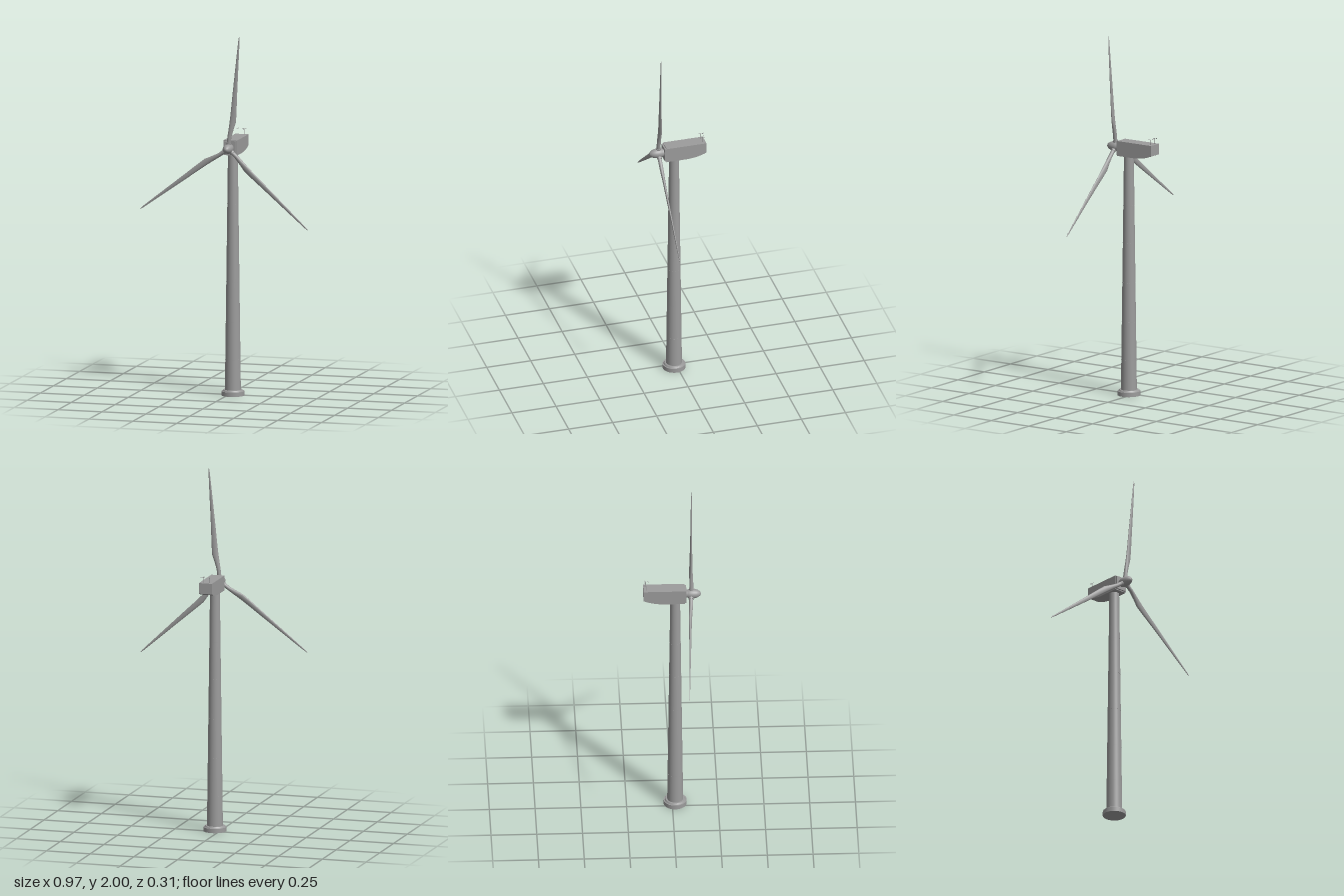
import * as THREE from 'three';

const paint = new THREE.MeshStandardMaterial({ color: 0x9c9c9c });
paint.name = 'turbineGrey';

const CX = 0.027, TOWER_Z = 0.016;
const HUB = new THREE.Vector3(CX, 1.378, 0.104);

function add(parent, name, geometry, x = 0, y = 0, z = 0) {
  const mesh = new THREE.Mesh(geometry, paint);
  mesh.name = name;
  mesh.position.set(x, y, z);
  parent.add(mesh);
  return mesh;
}

const lathe = (pts, n = 32) =>
  new THREE.LatheGeometry(pts.map(([r, y]) => new THREE.Vector2(r, y)), n);

// Blade lofted along +y: [distance, edge at -x, edge at +x, half thickness, twist]
function bladeGeometry() {
  const sections = [
    [0.015, -0.011, 0.011, 0.011, 0], [0.065, -0.011, 0.011, 0.011, 0],
    [0.105, -0.009, 0.018, 0.010, 0.18], [0.15, -0.007, 0.028, 0.008, 0.22],
    [0.20, -0.006, 0.026, 0.007, 0.18], [0.30, -0.006, 0.020, 0.0055, 0.12],
    [0.42, -0.005, 0.014, 0.004, 0.07], [0.54, -0.004, 0.008, 0.003, 0.03],
    [0.61, -0.003, 0.004, 0.002, 0], [0.625, -0.0015, 0.0015, 0.001, 0],
  ];
  const n = 16, pos = [], idx = [];
  for (const [r, lo, hi, t, twist] of sections) {
    for (let j = 0; j < n; j++) {
      const a = (j / n) * Math.PI * 2;
      const c = (lo + hi) / 2 + Math.cos(a) * (hi - lo) / 2;
      const d = -Math.sin(a) * t;
      pos.push(c * Math.cos(twist) + d * Math.sin(twist), r, -c * Math.sin(twist) + d * Math.cos(twist));
    }
  }
  for (let i = 0; i < sections.length - 1; i++) {
    for (let j = 0; j < n; j++) {
      const a = i * n + j, b = i * n + (j + 1) % n;
      idx.push(a, b, a + n, b, b + n, a + n);
    }
  }
  const last = (sections.length - 1) * n;
  for (let j = 1; j < n - 1; j++) idx.push(last, last + j, last + j + 1);
  const g = new THREE.BufferGeometry();
  g.setAttribute('position', new THREE.Float32BufferAttribute(pos, 3));
  g.setIndex(idx);
  g.computeVertexNormals();
  return g;
}

export function createModel() {
  const model = new THREE.Group();
  model.name = 'windTurbine';

  // Stepped foundation
  add(model, 'foundation', new THREE.CylinderGeometry(0.063, 0.063, 0.024, 40), CX, 0.012, TOWER_Z);
  add(model, 'foundationStep', new THREE.CylinderGeometry(0.052, 0.057, 0.008, 40), CX, 0.028, TOWER_Z);

  // Tapered tower in stacked sections with thin seams
  const tower = new THREE.Group();
  tower.name = 'tower';
  tower.position.set(CX, 0, TOWER_Z);
  model.add(tower);
  const radiusAt = (y) => 0.044 - 0.017 * (y / 1.337);
  const joints = [0.03, 0.2, 0.41, 0.63, 0.85, 1.06, 1.337];
  for (let i = 0; i < joints.length - 1; i++) {
    const y0 = joints[i], y1 = joints[i + 1];
    add(tower, 'towerSection',
      new THREE.CylinderGeometry(radiusAt(y1), radiusAt(y0), y1 - y0, 40, 1, true), 0, (y0 + y1) / 2, 0);
    if (i > 0) {
      const r = radiusAt(y0) + 0.0004;
      add(tower, 'towerSeam', new THREE.CylinderGeometry(r, r, 0.002, 40), 0, y0, 0);
    }
  }

  // Nacelle: side profile (z, y) with an upswept tail, extruded across x
  const width = 0.075;
  const side = new THREE.Shape();
  side.moveTo(0.068, 1.335);
  side.lineTo(0.068, 1.418);
  side.lineTo(-0.158, 1.418);
  side.lineTo(-0.158, 1.359);
  side.quadraticCurveTo(-0.11, 1.338, -0.05, 1.335);
  const shell = new THREE.ExtrudeGeometry(side, { depth: width, bevelEnabled: false, curveSegments: 8 });
  shell.rotateY(-Math.PI / 2);
  add(model, 'nacelle', shell, CX + width / 2, 0, 0);
  add(model, 'nacelleFront', new THREE.BoxGeometry(0.066, 0.074, 0.012), CX, 1.3765, 0.071);

  // Rotor: hub with rounded nose, and three blades
  const rotor = new THREE.Group();
  rotor.name = 'rotor';
  rotor.position.copy(HUB);
  model.add(rotor);
  const hub = lathe([
    [0.022, -0.03], [0.022, -0.019], [0.026, -0.014], [0.027, 0], [0.0265, 0.014],
    [0.024, 0.027], [0.019, 0.039], [0.011, 0.049], [0.005, 0.052], [0, 0.053],
  ]);
  hub.rotateX(Math.PI / 2);
  add(rotor, 'hub', hub);

  const bladeGeo = bladeGeometry();
  const collarGeo = new THREE.CylinderGeometry(0.0135, 0.0135, 0.02, 20);
  collarGeo.translate(0, 0.024, 0);
  const tips = [[0.063, 0.622, 0.003], [-0.509, -0.36, -0.028], [0.455, -0.428, 0.009]];
  for (const tip of tips) {
    const along = new THREE.Vector3(...tip).normalize();
    const chord = along.clone().cross(new THREE.Vector3(0, 0, 1)).normalize();
    const normal = chord.clone().cross(along);
    const arm = new THREE.Group();
    arm.name = 'bladeArm';
    arm.quaternion.setFromRotationMatrix(new THREE.Matrix4().makeBasis(chord, along, normal));
    rotor.add(arm);
    add(arm, 'blade', bladeGeo);
    add(arm, 'bladeCollar', collarGeo);
  }

  // Weather instruments on the tail: a vane and a three-cup wind gauge
  const postGeo = new THREE.CylinderGeometry(0.0012, 0.0012, 0.032, 8);
  const vaneX = 0.006, gaugeX = 0.044, deviceZ = -0.143;
  add(model, 'vanePost', postGeo, vaneX, 1.433, deviceZ);
  add(model, 'vaneArm', new THREE.BoxGeometry(0.0016, 0.0016, 0.026), vaneX, 1.449, deviceZ);
  add(model, 'vaneTail', new THREE.BoxGeometry(0.001, 0.006, 0.007), vaneX, 1.449, deviceZ - 0.011);
  add(model, 'gaugePost', postGeo, gaugeX, 1.433, deviceZ);
  for (let i = 0; i < 3; i++) {
    const a = Math.PI / 2 + (i * Math.PI * 2) / 3;
    const dx = Math.cos(a), dz = Math.sin(a);
    const arm = add(model, 'gaugeArm', new THREE.BoxGeometry(0.012, 0.0014, 0.0014),
      gaugeX + dx * 0.006, 1.449, deviceZ + dz * 0.006);
    arm.rotation.y = -a;
    add(model, 'gaugeCup', new THREE.SphereGeometry(0.0025, 10, 8), gaugeX + dx * 0.012, 1.449, deviceZ + dz * 0.012);
  }

  return model;
}
